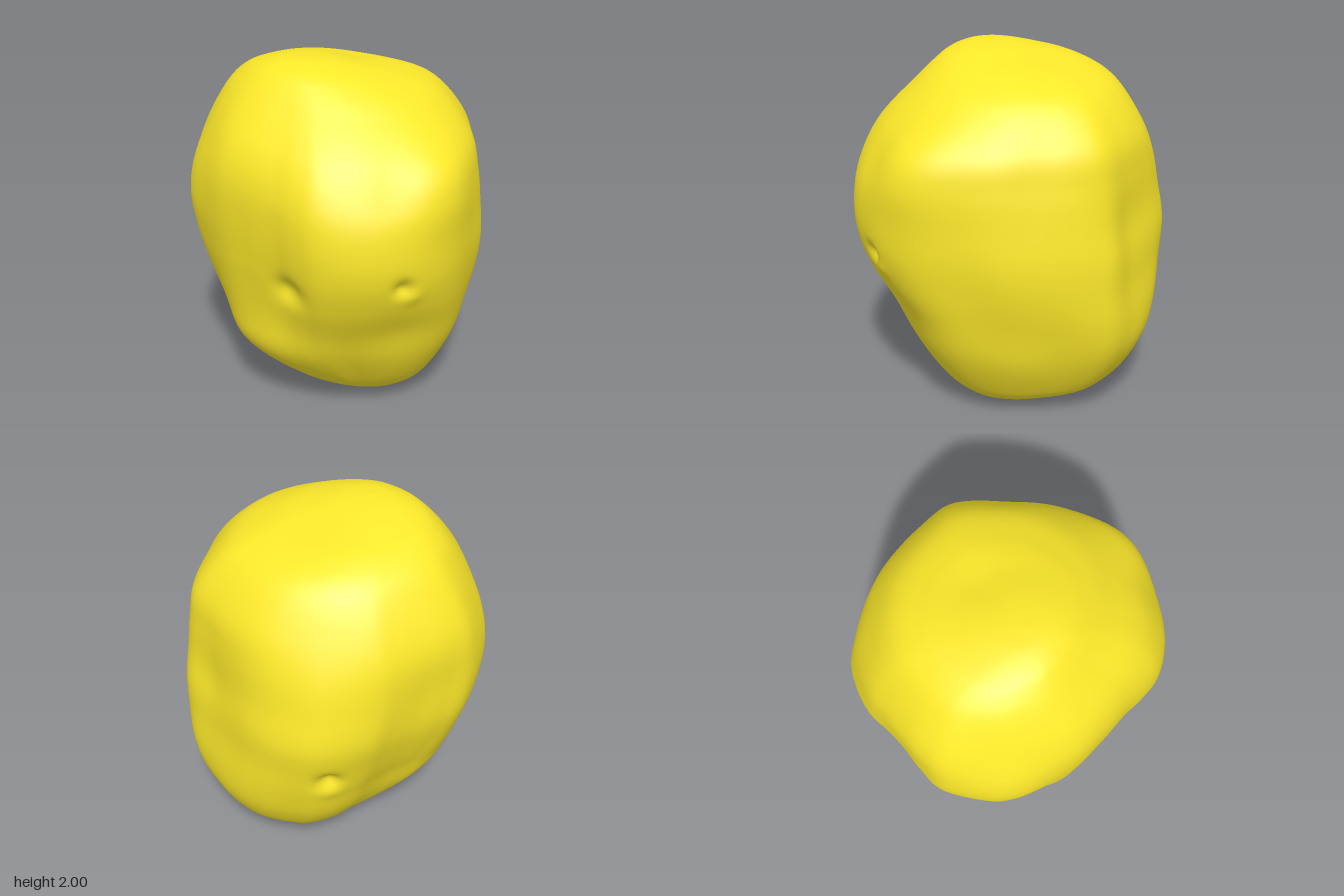
import * as THREE from 'three';
import { mergeVertices } from 'three/addons/utils/BufferGeometryUtils.js';

const COLS = 256, ROWS = 150;

// Height stations: y, right x, left x, back z, front z
const STATIONS = [
  [2.0, -0.18, -0.18, 0.1, 0.1], [1.99, -0.31, 0.0, -0.06, 0.21], [1.955, -0.43, 0.17, -0.24, 0.32],
  [1.9, -0.52, 0.36, -0.43, 0.41], [1.8, -0.61, 0.57, -0.59, 0.53], [1.6, -0.72, 0.73, -0.72, 0.74],
  [1.4, -0.8, 0.78, -0.81, 0.85], [1.2, -0.83, 0.81, -0.86, 0.89], [1.0, -0.81, 0.83, -0.89, 0.88],
  [0.8, -0.76, 0.82, -0.86, 0.81], [0.6, -0.69, 0.79, -0.82, 0.7], [0.4, -0.59, 0.73, -0.75, 0.6],
  [0.2, -0.37, 0.63, -0.62, 0.47], [0.1, -0.22, 0.55, -0.47, 0.37], [0.03, -0.01, 0.41, -0.25, 0.26],
  [0.01, 0.08, 0.26, -0.05, 0.18], [0, 0.15, 0.15, 0.1, 0.1],
];

// Plan outline (x, z), starting at the back and running round by +x
const OUTLINE = [
  [0, -0.89], [0.2, -0.85], [0.35, -0.77], [0.49, -0.65], [0.62, -0.53], [0.77, -0.4], [0.82, -0.27],
  [0.83, -0.08], [0.8, 0.2], [0.71, 0.43], [0.59, 0.65], [0.43, 0.79], [0.22, 0.87], [0.03, 0.89],
  [-0.14, 0.85], [-0.25, 0.76], [-0.35, 0.645], [-0.49, 0.52], [-0.64, 0.38], [-0.755, 0.2],
  [-0.82, 0.05], [-0.83, -0.1], [-0.77, -0.35], [-0.65, -0.48], [-0.52, -0.58], [-0.42, -0.67],
  [-0.32, -0.77], [-0.17, -0.85],
];

// Fullness of the diagonal flanks: x sign, z sign, height, spread, amount
const FLANKS = [
  [-1, 1, 0.36, 0.35, 0.17], [-1, 1, 1.65, 0.3, 0.06], [-1, 1, 0.95, 0.2, 0.015],
  [1, -1, 0.35, 0.33, 0.09], [1, -1, 1.6, 0.25, 0.045],
  [1, 1, 0.4, 0.3, 0.03], [1, 1, 1.5, 0.3, 0.055],
  [-1, -1, 0.43, 0.32, -0.1], [-1, -1, 1.6, 0.3, 0.08],
];

// Surface swells and dents: centre x, y, z, radius, height
const LUMPS = [
  // broad undulations
  [0.27, 1.5, 0.75, 0.18, -0.025], [0.5, 1.5, 0.62, 0.18, 0.015],
  [0.3, 0.6, 0.68, 0.2, -0.015], [0.62, 1.1, -0.54, 0.18, -0.02], [0.75, 0.55, 0.1, 0.2, -0.015],
  [0.1, 1.93, -0.15, 0.18, -0.02],
  // right front eye
  [-0.3, 0.88, 0.72, 0.075, -0.06], [-0.3, 0.88, 0.72, 0.03, 0.02],
  // left front eye
  [0.31, 0.97, 0.82, 0.05, -0.04], [0.36, 0.91, 0.8, 0.05, 0.012],
  // back eye
  [-0.08, 0.74, -0.84, 0.065, -0.05], [-0.1, 0.65, -0.84, 0.06, 0.015],
];

const spline = (points, closed = false) => new THREE.CatmullRomCurve3(points, closed, 'catmullrom', 0.5);

function flankOffset(u, y) {
  let sum = 0;
  for (const [sx, sz, height, spread, amount] of FLANKS) {
    const facing = 2 * Math.max(0, sx * u.x) * Math.max(0, sz * u.z) / (u.x ** 2 + u.z ** 2);
    sum += amount * facing ** 1.7 * Math.exp(-(((y - height) / spread) ** 2));
  }
  return sum;
}

function lumpOffset(p) {
  let sum = 0;
  for (const [x, y, z, radius, height] of LUMPS) {
    const d2 = (p.x - x) ** 2 + (p.y - y) ** 2 + ((p.z - z) * 0.7) ** 2;
    sum += height * Math.exp(-d2 / radius ** 2);
  }
  // gentle skin unevenness
  return sum + 0.005 * Math.sin(7 * p.x + 3 * p.y) * Math.sin(6 * p.y + 1) * Math.cos(6 * p.z - 2 * p.y);
}

function tuberGeometry() {
  const spanX = spline(STATIONS.map(([y, x0, x1]) => new THREE.Vector3(x0, x1, y)));
  const spanZ = spline(STATIONS.map(([y, , , z0, z1]) => new THREE.Vector3(z0, z1, y)));
  const plan = spline(OUTLINE.map(([x, z]) => new THREE.Vector3(x / 0.83, 0, z / 0.89)), true);
  const ring = plan.getSpacedPoints(COLS).slice(0, COLS);

  const positions = [], index = [];
  const p = new THREE.Vector3(), out = new THREE.Vector3();
  for (let i = 0; i <= ROWS; i++) {
    const sx = spanX.getPoint(i / ROWS), sz = spanZ.getPoint(i / ROWS);
    const y = sx.z;
    const halfX = (sx.y - sx.x) / 2, halfZ = (sz.y - sz.x) / 2;
    // sections grow rounder toward both ends
    const round = 0.7 * Math.min(1, Math.abs(y - 1)) ** 1.5;
    for (const u of ring) {
      const k = THREE.MathUtils.lerp(1, 1 / Math.hypot(u.x, u.z), round) + flankOffset(u, y) / 0.75;
      p.set((sx.x + sx.y) / 2 + u.x * k * halfX, y, (sz.x + sz.y) / 2 + u.z * k * halfZ);
      out.set(p.x, (p.y - 1) * 0.8, p.z).normalize();
      p.addScaledVector(out, lumpOffset(p));
      positions.push(p.x, p.y, p.z);
    }
  }
  for (let i = 0; i < ROWS; i++) {
    for (let j = 0; j < COLS; j++) {
      const a = i * COLS + j, c = i * COLS + (j + 1) % COLS;
      const b = a + COLS, d = c + COLS;
      if (i > 0) index.push(a, c, b);
      if (i < ROWS - 1) index.push(b, c, d);
    }
  }
  let geometry = new THREE.BufferGeometry();
  geometry.setAttribute('position', new THREE.Float32BufferAttribute(positions, 3));
  geometry.setIndex(index);
  geometry = mergeVertices(geometry, 1e-5);
  geometry.computeVertexNormals();
  return geometry;
}

export function createModel() {
  const group = new THREE.Group();
  group.name = 'potato';
  const tuber = new THREE.Mesh(tuberGeometry(), new THREE.MeshStandardMaterial({ color: 0xfde92a }));
  tuber.name = 'tuber';
  group.add(tuber);
  return group;
}
